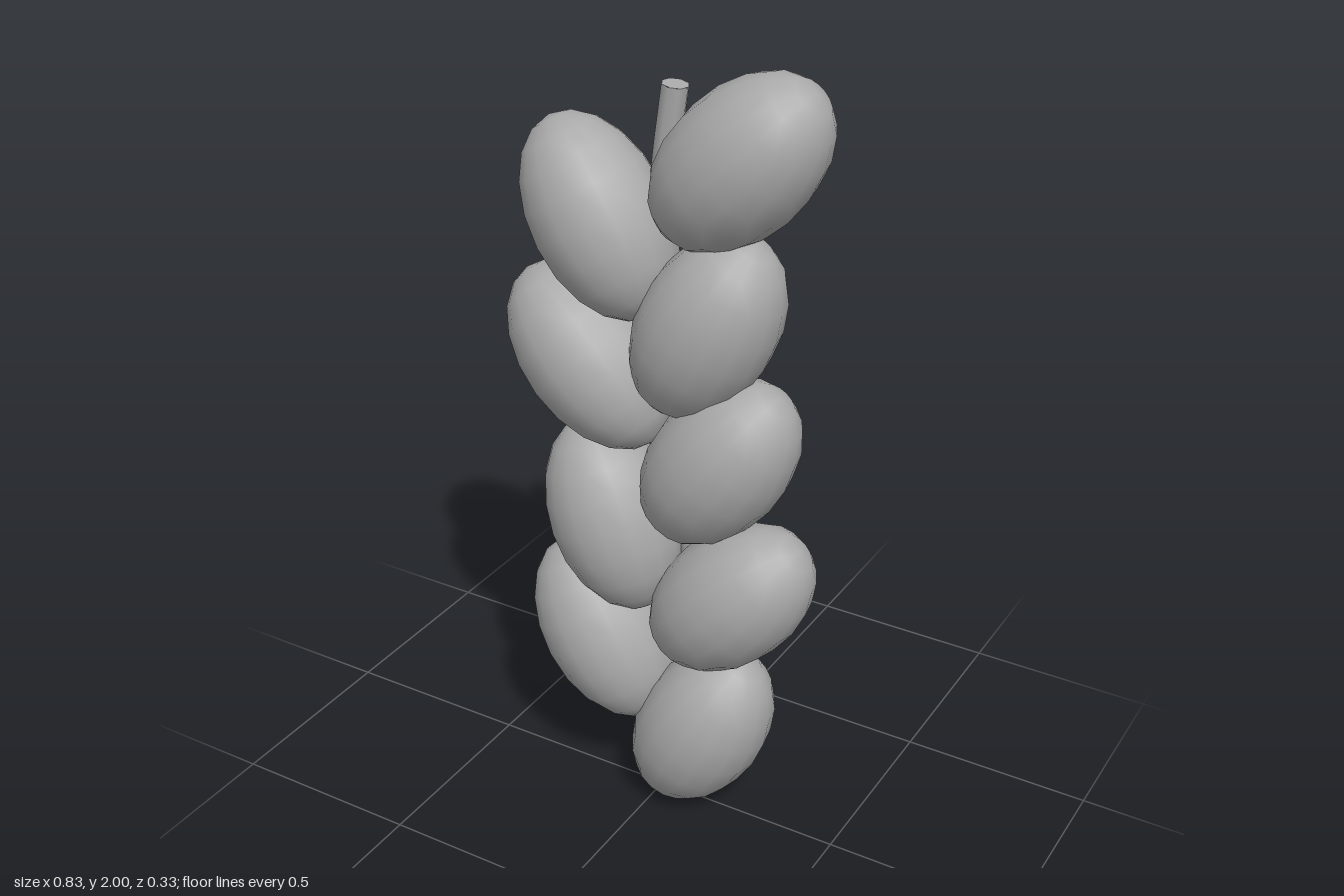
import * as THREE from 'three';

export function createModel() {
  const model = new THREE.Group();
  const grey = new THREE.MeshStandardMaterial({ color: 0xaaaaaa });
  grey.name = 'plain grey';

  // Plump grains in two columns: [centre x, centre y, lean from vertical in degrees]
  const leftGrains = [
    [0.12, 0.242, 28], [0.197, 0.652, 44], [0.158, 1.022, 36],
    [0.12, 1.37, 28], [0.197, 1.78, 44],
  ];
  const rightGrains = [
    [-0.17, 0.447, -31], [-0.141, 0.797, -20], [-0.203, 1.222, -43], [-0.17, 1.585, -31],
  ];
  const grainShape = new THREE.SphereGeometry(1, 16, 10);
  grainShape.scale(0.167, 0.262, 0.163);

  const addColumn = (name, grains) => {
    const column = new THREE.Group();
    column.name = name;
    grains.forEach(([x, y, lean], i) => {
      const grain = new THREE.Mesh(grainShape, grey);
      grain.name = `${name}Grain${i + 1}`;
      grain.position.set(x, y, 0);
      grain.rotation.z = -THREE.MathUtils.degToRad(lean);
      column.add(grain);
    });
    model.add(column);
  };
  addColumn('left', leftGrains);
  addColumn('right', rightGrains);

  // Wavy stalk running up behind the seam between the columns
  const stalkPath = new THREE.CatmullRomCurve3([
    [0.03, 0.3], [0.04, 0.45], [0.05, 0.8], [0.0, 1.08],
    [-0.04, 1.4], [-0.035, 1.68], [-0.005, 1.912],
  ].map(([x, y]) => new THREE.Vector3(x, y, -0.063)));
  const stalk = new THREE.Mesh(new THREE.TubeGeometry(stalkPath, 24, 0.033, 8), grey);
  stalk.name = 'stalk';
  model.add(stalk);

  // Flat cut at the top of the stalk
  const cut = new THREE.Mesh(new THREE.CircleGeometry(0.033, 8), grey);
  cut.name = 'stalkCut';
  cut.position.copy(stalkPath.getPoint(1));
  cut.quaternion.setFromUnitVectors(new THREE.Vector3(0, 0, 1), stalkPath.getTangent(1));
  model.add(cut);

  return model;
}
